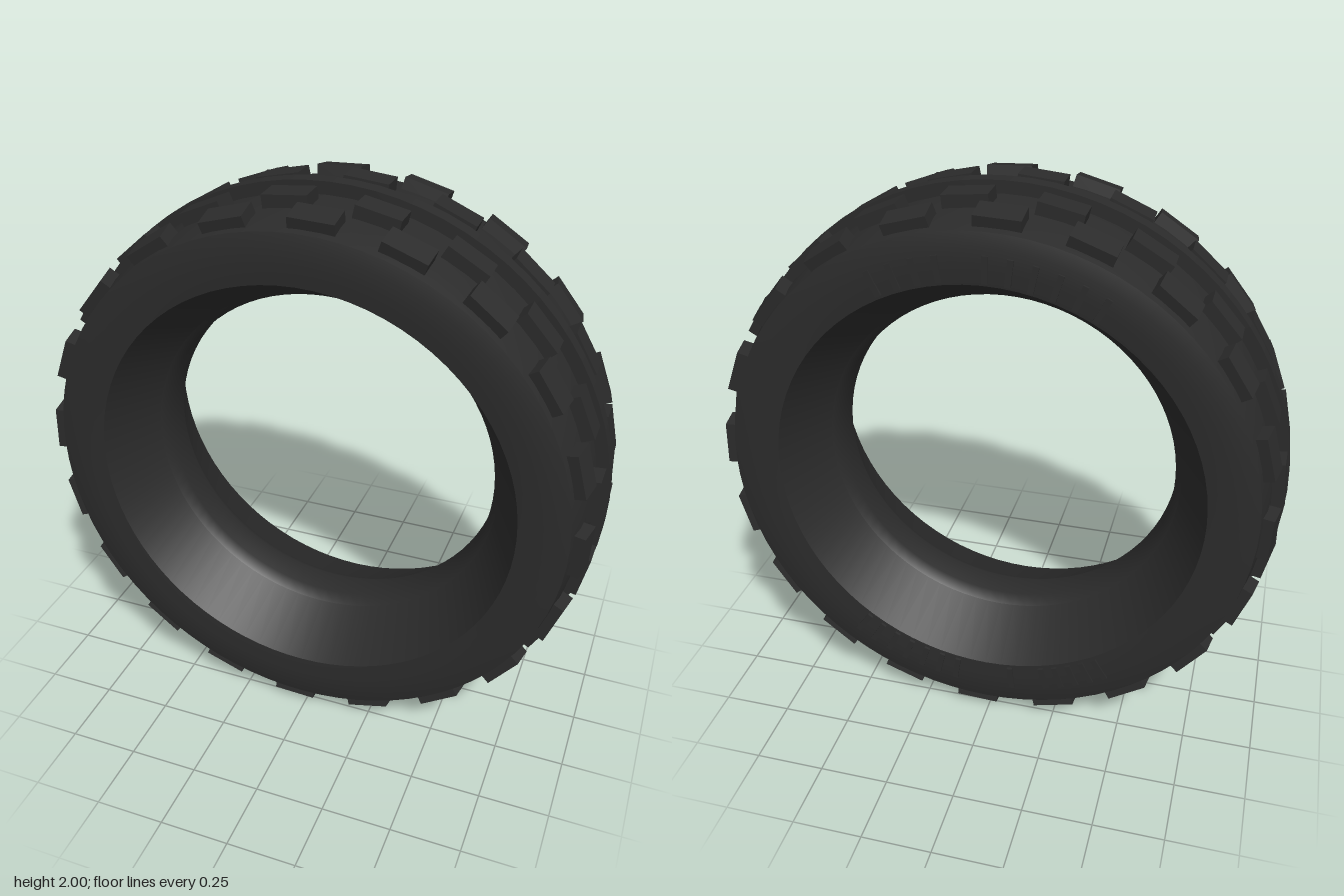
import * as THREE from 'three';

const rubber = new THREE.MeshStandardMaterial({ color: 0x2b2b2b });
rubber.name = 'black rubber';

// Ring swept round the z axis from [radius, z] points
function ring(name, points) {
  const geo = new THREE.LatheGeometry(points.map(([r, z]) => new THREE.Vector2(r, z)), 80);
  geo.rotateX(Math.PI / 2);
  const mesh = new THREE.Mesh(geo, rubber);
  mesh.name = name;
  return mesh;
}

// Box placed at an angle round the axle; tilt lowers its outer edge
function radialBox(name, size, r, angle, z, tilt = 0) {
  const geo = new THREE.BoxGeometry(...size);
  geo.rotateY(tilt);
  geo.translate(r, 0, z);
  geo.rotateZ(angle);
  const mesh = new THREE.Mesh(geo, rubber);
  mesh.name = name;
  return mesh;
}

export function createModel() {
  const tyre = new THREE.Group();
  tyre.name = 'tyre';

  // Carcass: separate rings keep the edges between them crisp
  tyre.add(ring('treadBase', [[0.925, -0.305], [0.943, -0.23], [0.955, -0.1], [0.957, 0],
    [0.955, 0.1], [0.943, 0.23], [0.925, 0.305]]));
  tyre.add(ring('innerBand', [[0.645, 0.09], [0.62, 0.05], [0.62, -0.05], [0.645, -0.09]]));
  const wall = [[0.925, 0.305], [0.88, 0.315], [0.82, 0.318], [0.755, 0.312]];
  const cone = [[0.755, 0.312], [0.645, 0.09]];
  const flip = (pts) => pts.map(([r, z]) => [r, -z]).reverse();
  tyre.add(ring('frontSidewall', wall), ring('backSidewall', flip(wall)));
  tyre.add(ring('frontInnerSlope', cone), ring('backInnerSlope', flip(cone)));

  // Raised rib round the middle of the tread
  for (const pts of [[[0.95, -0.027], [1, -0.027]], [[1, -0.027], [1, 0.027]], [[1, 0.027], [0.95, 0.027]]]) {
    tyre.add(ring('centreRib', pts));
  }

  // Four staggered rows of tread blocks
  const count = 20;
  const step = (Math.PI * 2) / count;
  for (const side of [1, -1]) {
    for (let i = 0; i < count; i++) {
      tyre.add(radialBox('innerTreadBlock', [0.09, 0.155, 0.093], 0.947,
        i * step + side * 0.097, side * 0.112, side * -0.02));
      tyre.add(radialBox('shoulderTreadBlock', [0.09, 0.155, 0.09], 0.93,
        i * step - side * 0.045, side * 0.235, side * -0.2));
    }
  }

  // Groups of small raised bars on the back sidewall: [start, end, bars], in degrees
  const barGroups = [[64, 80, 4], [91, 118, 6], [238, 254, 5], [263, 263, 1], [278, 306, 7]];
  for (const [start, end, bars] of barGroups) {
    for (let i = 0; i < bars; i++) {
      const deg = bars > 1 ? start + ((end - start) * i) / (bars - 1) : start;
      tyre.add(radialBox('sidewallBar', [0.09, 0.02, 0.012], 0.81,
        THREE.MathUtils.degToRad(deg), -0.317));
    }
  }

  tyre.position.y = 1;
  const model = new THREE.Group();
  model.name = 'tyreModel';
  model.add(tyre);
  return model;
}
